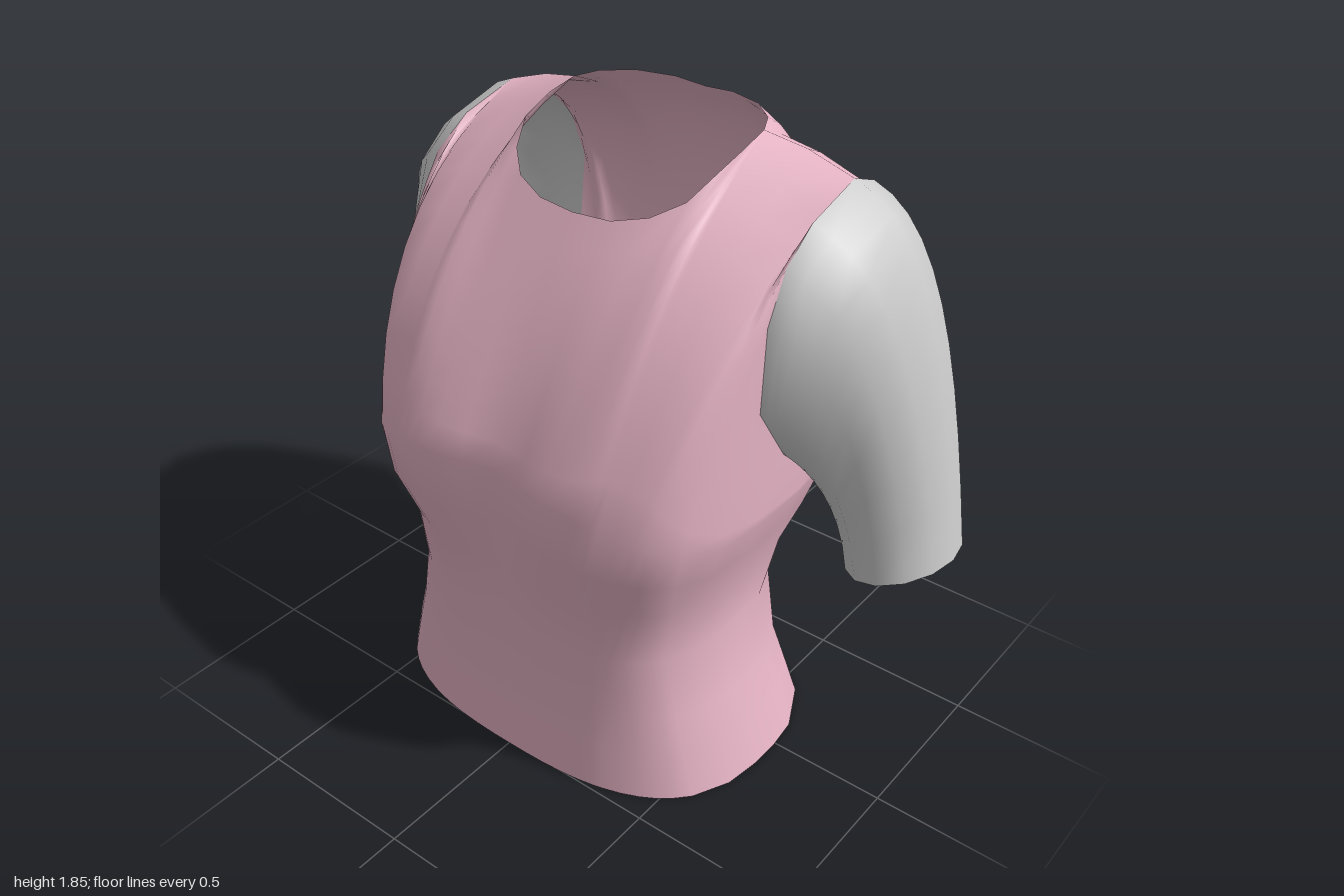
import * as THREE from 'three';
import { mergeVertices } from 'three/addons/utils/BufferGeometryUtils.js';

const V = (x, y, z) => new THREE.Vector3(x, y, z);

// Upper rim of the torso, one end point per column, from front centre to back centre
const neckFront = [
  [0, 1.66, .17], [.12, 1.665, .16], [.22, 1.69, .125], [.29, 1.73, .06], [.325, 1.79, -.02], [.332, 1.825, -.13],
];
const shoulder = [[.325, 1.845, -.23], [.45, 1.818, -.25], [.59, 1.77, -.26]];
const armhole = [
  [.595, 1.72, -.06], [.6, 1.64, .06], [.6, 1.5, .13], [.6, 1.25, .14], [.6, 1.06, .01], [.6, .97, -.15],
  [.59, .97, -.3], [.56, 1.05, -.44], [.54, 1.25, -.51], [.54, 1.45, -.53], [.555, 1.6, -.485], [.58, 1.72, -.385],
];
const neckBack = [[.29, 1.85, -.3], [.21, 1.85, -.37], [.1, 1.845, -.41], [0, 1.835, -.42]];
const rim = [...neckFront, ...shoulder, ...armhole, ...[...shoulder].reverse(), ...neckBack].map(p => V(...p));

// Angle in degrees at which each column starts on the lower sections
const angles = [
  0, 2.5, 7.2, 12.8, 17.7, 22.3, 25.5, 31.7, 38.3, 44, 50.6, 58.8, 75, 87,
  93, 103, 124, 141, 146, 149.5, 152, 155, 160, 165, 168, 172, 176.5, 180,
];

// Horizontal sections: height, half width, front z, back z, squareness, centre hollow, side drop
const sections = [
  [0, .64, .51, -.4, 2.7, 0, 0],
  [.14, .6, .495, -.355, 2.8, 0, 0],
  [.27, .56, .48, -.315, 2.9, 0, 0],
  [.47, .51, .48, -.32, 3.1, 0, 0],
  [.66, .535, .495, -.39, 3.2, .01, 0],
  [.84, .575, .555, -.47, 3.4, .045, .06],
  [1.02, .6, .56, -.52, 3.6, .045, .14],
];

function sectionPoint([y, w, zf, zb, n, hollow, drop], angle) {
  const s = Math.max(0, Math.sin(angle)), c = Math.cos(angle);
  const x = w * Math.pow(s, 2 / n), mid = (zf + zb) / 2;
  let z = mid + (zf - zb) / 2 * Math.sign(c) * Math.pow(Math.abs(c), 2 / n);
  if (c > 0) z -= hollow * Math.exp(-((x / .12) ** 2));
  return V(x, y - drop * s * s, z);
}

// Skin a closed loop of columns, each an array of points of equal length
function skin(columns) {
  const rows = columns[0].length, n = columns.length, index = [];
  for (let c = 0; c < n; c++) {
    for (let r = 0; r < rows - 1; r++) {
      const a = c * rows + r, b = ((c + 1) % n) * rows + r;
      index.push(a, b, b + 1, a, b + 1, a + 1);
    }
  }
  let geometry = new THREE.BufferGeometry().setFromPoints(columns.flat());
  geometry.setIndex(index);
  geometry = mergeVertices(geometry, 1e-4);
  geometry.computeVertexNormals();
  return geometry;
}

function torsoGeometry() {
  const half = rim.map((end, i) => {
    const lower = sections.map(s => sectionPoint(s, THREE.MathUtils.degToRad(angles[i])));
    const start = lower[lower.length - 1];
    // Bow the upper part over chest, shoulder blade and shoulder
    const height = THREE.MathUtils.clamp((end.y - .95) / .85, 0, 1);
    const control = start.clone().lerp(end, .5);
    if (i < rim.length / 2) {
      const reach = height * Math.max(0, .17 - end.z);
      control.x += .13 * reach;
      control.y += .52 * reach;
      control.z += .06 * height + (.15 + .45 * end.x) * reach;
    } else {
      const reach = height * Math.max(0, end.z + .53);
      control.y += .16 * height + .3 * reach;
      control.z -= .06 * height + .9 * reach;
    }
    const upper = new THREE.QuadraticBezierCurve3(start, control, end).getPoints(9).slice(1);
    return [...lower, ...upper];
  });
  const mirrored = half.slice(1, -1).reverse().map(col => col.map(p => V(-p.x, p.y, p.z)));
  return skin([...half, ...mirrored]);
}

function sleeveGeometry() {
  const loop = [V(...shoulder[2]), ...armhole.map(p => V(...p))];
  return skin(loop.map((start, i) => {
    // Each strand runs from the armhole to the tilted oval cuff
    const a = 2 * Math.PI * i / loop.length, c = Math.cos(a);
    const end = V(.845 + .155 * c, .66 + .05 * c, -.29 + .19 * Math.sin(a));
    const d = start.distanceTo(end), h = (start.y - .97) / .8;
    const c1 = start.clone().add(V(.2 * h * d, -.06 * h, 0));
    const c2 = end.clone().add(V(-.09 * d, .58 * d, 0));
    return new THREE.CubicBezierCurve3(start, c1, c2, end).getPoints(10);
  }));
}

export function createModel() {
  const model = new THREE.Group();
  model.name = 'shortSleevedShirt';
  const pink = new THREE.MeshStandardMaterial({ color: 0xe6b4c5, side: THREE.DoubleSide });
  const grey = new THREE.MeshStandardMaterial({ color: 0xcccccc, side: THREE.DoubleSide });

  const torso = new THREE.Mesh(torsoGeometry(), pink);
  torso.name = 'torso';
  model.add(torso);

  const sleeve = sleeveGeometry();
  for (const [name, side] of [['leftSleeve', 1], ['rightSleeve', -1]]) {
    const mesh = new THREE.Mesh(sleeve, grey);
    mesh.name = name;
    mesh.scale.x = side;
    model.add(mesh);
  }
  return model;
}
